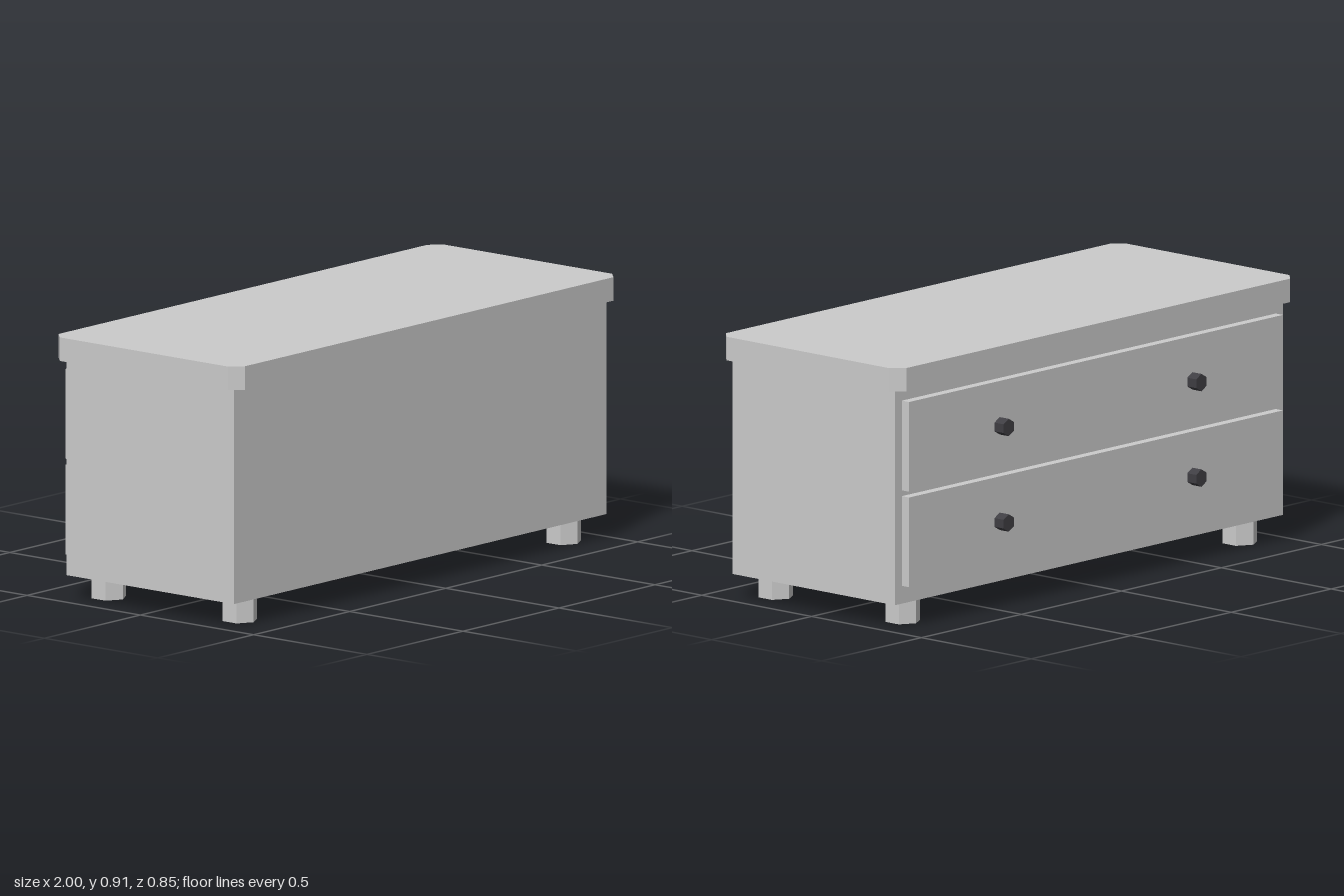
import * as THREE from 'three';

const grey = new THREE.MeshStandardMaterial({ color: 0xcccccc, flatShading: true });
const dark = new THREE.MeshStandardMaterial({ color: 0x3f3e43, flatShading: true });

export function createModel() {
  const group = new THREE.Group();
  const add = (name, geometry, x, y, z, material = grey) => {
    const mesh = new THREE.Mesh(geometry, material);
    mesh.name = name;
    mesh.position.set(x, y, z);
    group.add(mesh);
    return mesh;
  };

  // Chest body
  add('body', new THREE.BoxGeometry(1.94, 0.741, 0.739), 0, 0.4555, 0.0175);

  // Top slab with clipped corners
  const w = 1, d = 0.411, c = 0.04;
  const outline = new THREE.Shape([
    [-w + c, -d], [w - c, -d], [w, -d + c], [w, d - c],
    [w - c, d], [-w + c, d], [-w, d - c], [-w, -d + c],
  ].map(([x, y]) => new THREE.Vector2(x, y)));
  const slab = new THREE.ExtrudeGeometry(outline, { depth: 0.081, bevelEnabled: false });
  slab.rotateX(-Math.PI / 2);
  add('top', slab, 0, 0.826, 0.016);

  // Two drawers, each with a pair of hexagonal knobs
  const drawer = new THREE.BoxGeometry(1.87, 0.309, 0.033);
  const knob = new THREE.CylinderGeometry(0.03, 0.03, 0.041, 6).rotateX(Math.PI / 2);
  for (const [name, y] of [['lower', 0.301], ['upper', 0.63]]) {
    add(name + 'Drawer', drawer, 0, y, -0.3685);
    for (const side of [-1, 1]) {
      add(name + 'Knob' + (side > 0 ? 'Left' : 'Right'), knob, side * 0.482, y, -0.4055, dark);
    }
  }

  // Four hexagonal feet
  const foot = new THREE.CylinderGeometry(0.0615, 0.0615, 0.085, 6);
  for (const side of [-1, 1]) {
    for (const [name, z] of [['front', 0.306], ['back', -0.272]]) {
      add(name + 'Foot' + (side > 0 ? 'Left' : 'Right'), foot, side * 0.843, 0.0425, z);
    }
  }
  return group;
}
